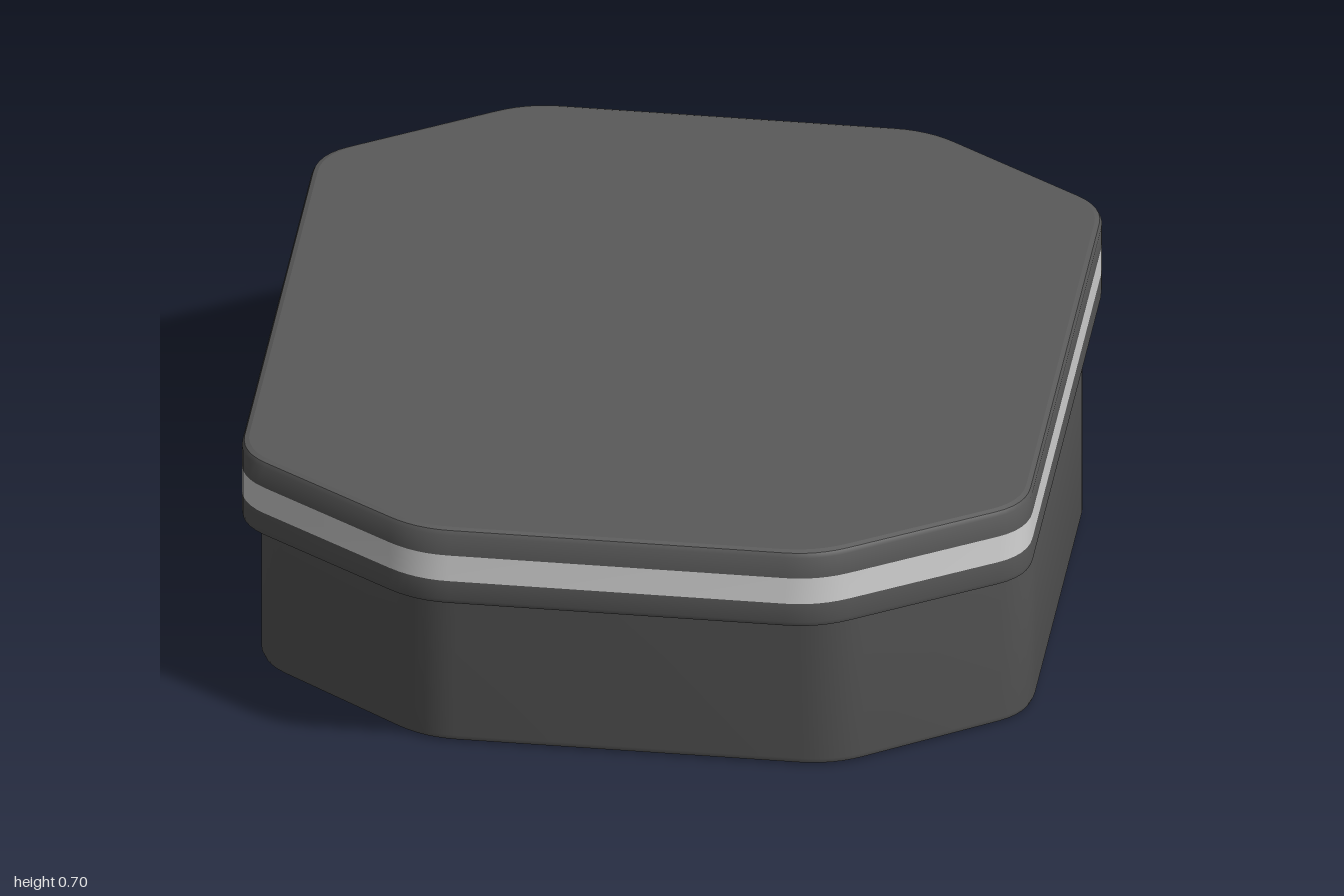
import * as THREE from 'three';
import { toCreasedNormals } from 'three/addons/utils/BufferGeometryUtils.js';

const material = (name, color) => {
  const m = new THREE.MeshStandardMaterial({ color });
  m.name = name;
  return m;
};

// Octagon with softened corners: [half width, half depth, flat half width, flat half depth]
const LID = [0.94, 1.0, 0.48, 0.7];
const BODY = [0.92, 0.8, 0.49, 0.5];
const mix = (t) => LID.map((v, i) => BODY[i] + (v - BODY[i]) * t);

function outline([hx, hz, fx, fz], inset = 0) {
  const x = hx - inset, z = hz - inset, f = fx - inset * 0.5, g = fz - inset * 0.5;
  const corners = [[x, -g], [x, g], [f, z], [-f, z], [-x, g], [-x, -g], [-f, -z], [f, -z]]
    .map((c) => new THREE.Vector2(...c));
  const points = [];
  corners.forEach((p, i) => {
    const toward = (q) => q.clone().sub(p).setLength(0.08).add(p);
    const a = toward(corners[(i + 7) % 8]), b = toward(corners[(i + 1) % 8]);
    points.push(...new THREE.QuadraticBezierCurve(a, p, b).getPoints(6));
  });
  return points;
}

// Skin stretched over a stack of outlines, listed from bottom to top as [points, y]
function loft(sections) {
  const n = sections[0][0].length, pos = [], index = [];
  sections.forEach(([pts, y]) => pts.forEach((p) => pos.push(p.x, y, p.y)));
  for (let s = 0; s < sections.length - 1; s++) {
    for (let i = 0; i < n; i++) {
      const a = s * n + i, b = s * n + (i + 1) % n, c = a + n, d = b + n;
      index.push(a, c, b, b, c, d);
    }
  }
  const g = new THREE.BufferGeometry();
  g.setAttribute('position', new THREE.Float32BufferAttribute(pos, 3));
  g.setIndex(index);
  return toCreasedNormals(g, 0.6);
}

export function createModel() {
  const model = new THREE.Group();
  const grey = material('dark grey', 0x5a5a5a);
  const silver = material('light grey', 0xd4d4d4);
  const red = material('red', 0xc81a24);
  const darkRed = material('dark red', 0x800c1c);
  const add = (name, geometry, mat, x = 0, y = 0, z = 0) => {
    const mesh = new THREE.Mesh(geometry, mat);
    mesh.name = name;
    mesh.position.set(x, y, z);
    model.add(mesh);
  };

  // Body wall, flaring out under the lid
  add('body', loft([
    [outline(BODY, 0.02), 0], [outline(BODY, 0.006), 0.006], [outline(BODY), 0.02],
    [outline(BODY), 0.435], [outline(mix(0.03)), 0.45], [outline(mix(0.12)), 0.458],
    [outline(mix(0.88)), 0.49], [outline(mix(0.97)), 0.497], [outline(LID), 0.51],
    [outline(LID), 0.56],
  ]), grey);

  // Band around the rim
  add('rimBand', loft([[outline(LID), 0.56], [outline(LID), 0.63]]), silver);

  // Lid edge and top
  add('lidEdge', loft([
    [outline(LID), 0.63], [outline(LID), 0.685],
    [outline(LID, 0.005), 0.696], [outline(LID, 0.016), 0.7],
  ]), grey);
  add('lidTop', new THREE.ShapeGeometry(new THREE.Shape(outline(LID, 0.016))).rotateX(-Math.PI / 2), grey, 0, 0.7);

  // Underside with two round sockets
  const socketX = 0.71, socketR = 0.16;
  const base = new THREE.Shape(outline(BODY, 0.02));
  const bowl = [];
  for (let i = 0; i <= 12; i++) {
    const t = (i / 12) * Math.PI / 2;
    bowl.push(new THREE.Vector2(Math.sin(t) * socketR, Math.cos(t) * socketR));
  }
  for (const side of [-1, 1]) {
    base.holes.push(new THREE.Path().absarc(side * socketX, 0, socketR, 0, Math.PI * 2, true));
    add(side > 0 ? 'leftSocket' : 'rightSocket', new THREE.LatheGeometry(bowl, 40), grey, side * socketX);
  }
  add('underside', new THREE.ShapeGeometry(base, 20).rotateX(Math.PI / 2), grey);

  // Framed window on the side
  add('windowFrame', new THREE.BoxGeometry(0.008, 0.24, 0.62), red, -0.92, 0.3);
  add('windowPane', new THREE.BoxGeometry(0.009, 0.195, 0.575), darkRed, -0.921, 0.3);

  return model;
}
